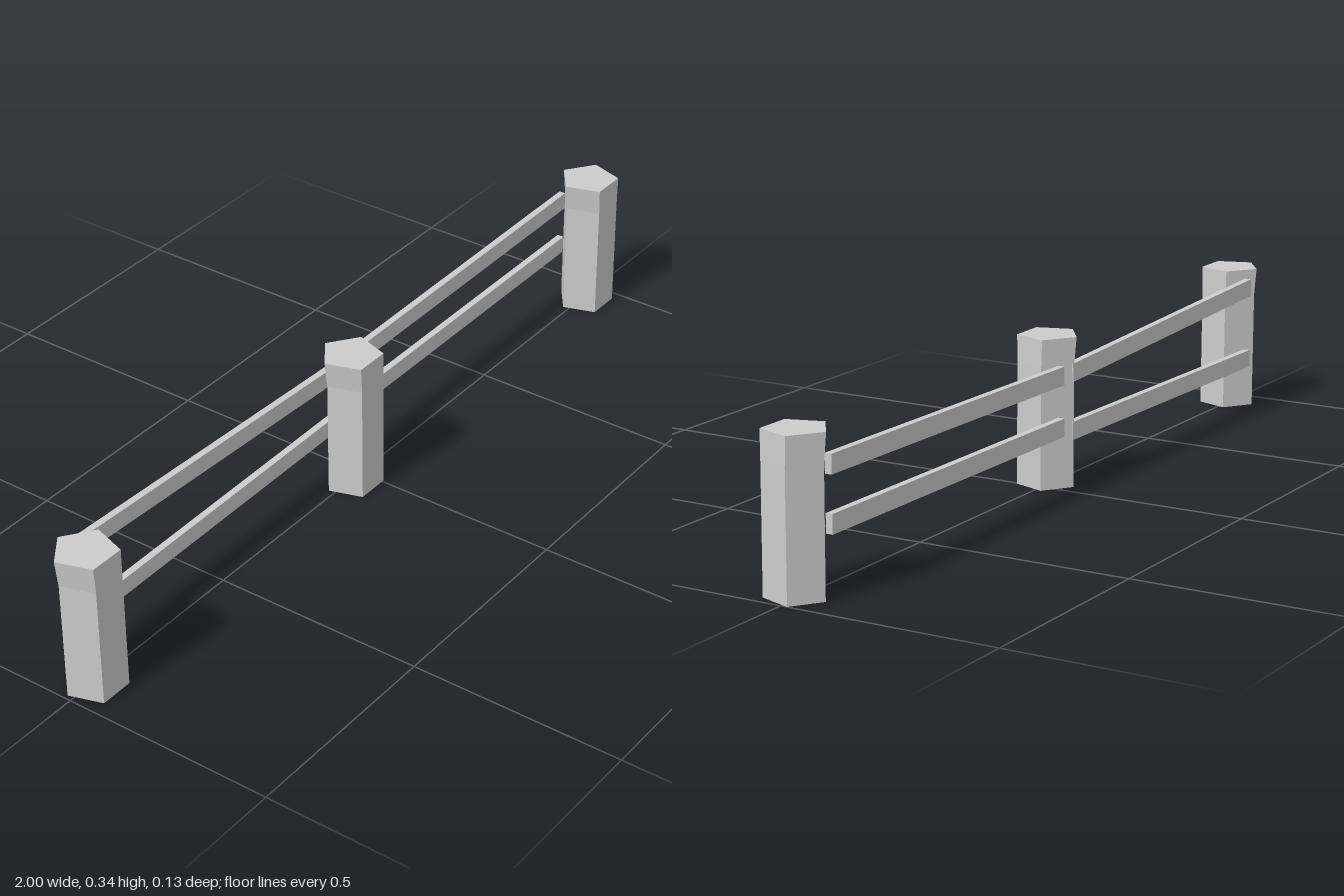
import * as THREE from 'three';

const material = new THREE.MeshStandardMaterial({ color: 0xcccccc, flatShading: true });

// Five-sided post: a straight, slightly leaning shaft that flares at the head
function makePost(name, x) {
  const height = 0.343;
  const rings = [ // height, radius, sideways shift (from the head down)
    [height, 0.071, 0],
    [0.28, 0.068, 0.005],
    [0, 0.068, 0.008],
  ];
  const geometry = new THREE.CylinderGeometry(1, 1, 1, 5, 2);
  geometry.rotateY(Math.PI); // one corner points to the back
  const p = geometry.attributes.position;
  for (let i = 0; i < p.count; i++) {
    const [y, r, shift] = rings[Math.round((0.5 - p.getY(i)) * 2)];
    p.setXYZ(i, p.getX(i) * r + shift, y, p.getZ(i) * r + 0.006);
  }
  geometry.computeVertexNormals();
  const post = new THREE.Mesh(geometry, material);
  post.name = name;
  post.position.x = x;
  return post;
}

// Thin plank running between two points along the back of the posts
function makeRail(name, x0, y0, x1, y1) {
  const dx = x1 - x0, dy = y1 - y0;
  const rail = new THREE.Mesh(
    new THREE.BoxGeometry(Math.hypot(dx, dy), 0.042, 0.016), material);
  rail.name = name;
  rail.position.set((x0 + x1) / 2, (y0 + y1) / 2, -0.054);
  rail.rotation.z = Math.atan2(dy, dx);
  return rail;
}

export function createModel() {
  const fence = new THREE.Group();
  fence.name = 'fence';

  // Posts
  fence.add(
    makePost('rightPost', -0.934),
    makePost('middlePost', -0.043),
    makePost('leftPost', 0.927),
  );

  // Rails, each with its own small tilt
  fence.add(
    makeRail('rightUpperRail', -0.91, 0.3, -0.034, 0.263),
    makeRail('rightLowerRail', -0.91, 0.121, -0.034, 0.13),
    makeRail('leftUpperRail', 0.005, 0.264, 0.907, 0.273),
    makeRail('leftLowerRail', 0.005, 0.146, 0.907, 0.151),
  );
  return fence;
}
